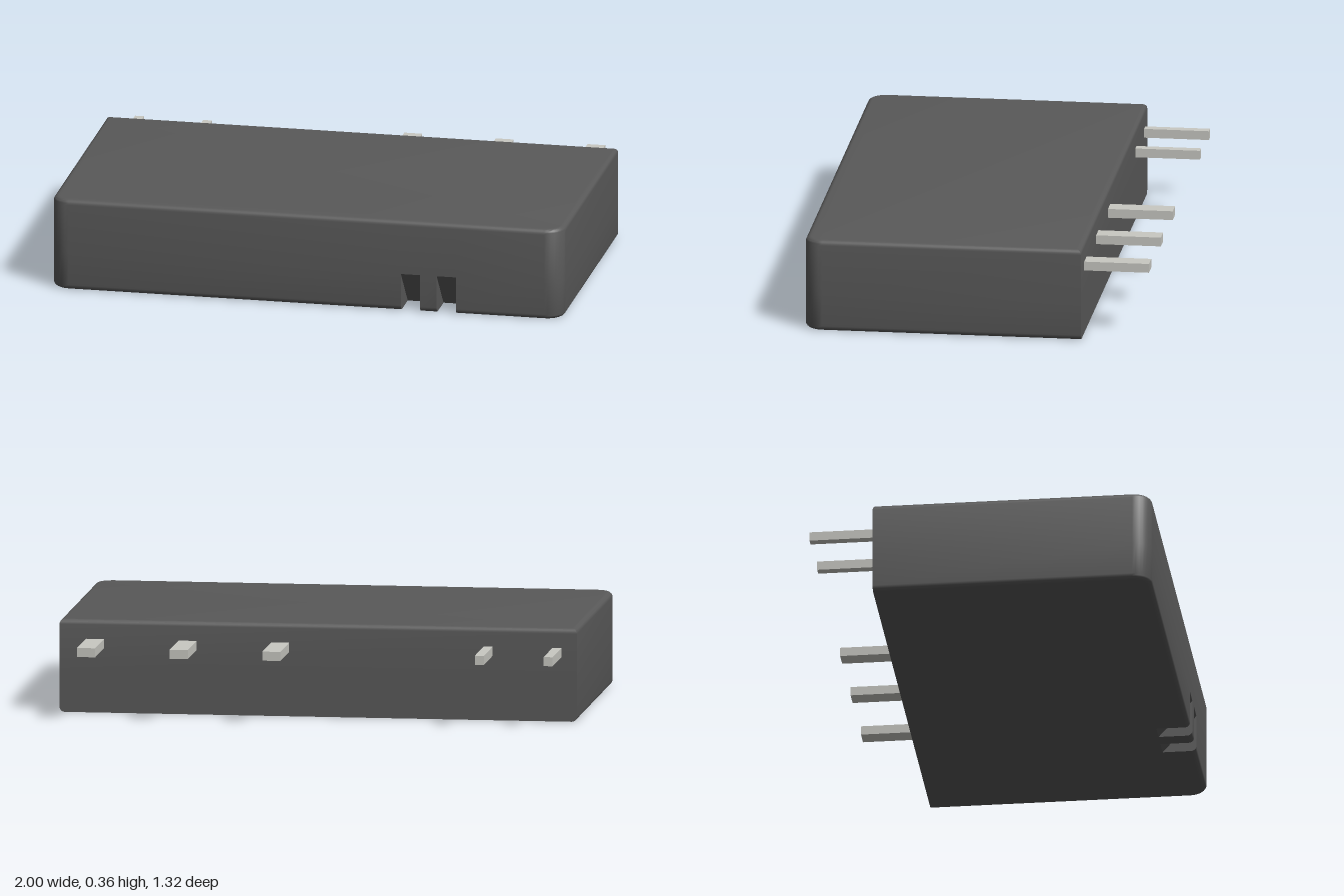
import * as THREE from 'three';
import { toCreasedNormals } from 'three/addons/utils/BufferGeometryUtils.js';

const HEIGHT = 0.36, FRONT = 0.66, BACK = -0.41;
const FILLET = 0.02, CORNER = 0.07;
const SLOTS = [[0.37, 0.445], [0.51, 0.585]];
const SLOT_HEIGHT = 0.147, SLOT_DEPTH = 0.13;

// Plan outline at height y: square back, rounded front corners, wedge slots that get shallower upwards
function outline(y, inset) {
  const side = 1 - inset, front = FRONT - inset;
  const back = BACK + (y > HEIGHT / 2 ? inset : 0);
  const points = [[-side, back]];
  const corner = (cx, from) => {
    for (let i = 0; i <= 8; i++) {
      const a = from + (i / 8) * Math.PI / 2, r = CORNER - inset;
      points.push([cx + r * Math.cos(a), FRONT - CORNER - r * Math.sin(a)]);
    }
  };
  corner(-1 + CORNER, Math.PI);
  const inner = Math.min(front, FRONT - SLOT_DEPTH * (1 - y / SLOT_HEIGHT));
  for (const [a, b] of SLOTS) points.push([a, front], [a, inner], [b, inner], [b, front]);
  corner(1 - CORNER, Math.PI * 1.5);
  points.push([side, back]);
  return points.map(([x, z]) => new THREE.Vector3(x, y, z));
}

// Housing: outlines stacked from the bottom fillet to the top fillet, then capped
function housingGeometry() {
  const lower = [], upper = [];
  for (let i = 0; i <= 5; i++) {
    const a = (i / 5) * Math.PI / 2;
    const rise = FILLET * (1 - Math.cos(a)), inset = FILLET * (1 - Math.sin(a));
    lower.push(outline(rise, inset));
    upper.unshift(outline(HEIGHT - rise, inset));
  }
  const rings = [...lower, outline(SLOT_HEIGHT, 0), ...upper];
  const positions = [];
  const triangle = (a, b, c) => {
    if (new THREE.Triangle(a, b, c).getArea() < 1e-9) return;
    for (const p of [a, b, c]) positions.push(p.x, p.y, p.z);
  };
  for (let k = 0; k + 1 < rings.length; k++) {
    const low = rings[k], high = rings[k + 1];
    low.forEach((p, j) => {
      const n = (j + 1) % low.length;
      triangle(p, low[n], high[n]);
      triangle(p, high[n], high[j]);
    });
  }
  const cap = (ring, up) => {
    const flat = ring.map(p => new THREE.Vector2(p.x, -p.z));
    for (const [a, b, c] of THREE.ShapeUtils.triangulateShape(flat, [])) {
      if (up) triangle(ring[a], ring[b], ring[c]);
      else triangle(ring[a], ring[c], ring[b]);
    }
  };
  cap(rings[0], false);
  cap(rings[rings.length - 1], true);
  const geometry = new THREE.BufferGeometry();
  geometry.setAttribute('position', new THREE.Float32BufferAttribute(positions, 3));
  return toCreasedNormals(geometry, Math.PI / 6);
}

export function createModel() {
  const model = new THREE.Group();
  model.name = 'relayModule';

  const housing = new THREE.Mesh(housingGeometry(), new THREE.MeshStandardMaterial({ color: 0x595959 }));
  housing.name = 'housing';
  model.add(housing);

  // Terminal pins: two narrow, three wide, rooted slightly inside the back face
  const metal = new THREE.MeshStandardMaterial({ color: 0xc8c8c2 });
  const pins = new THREE.Group();
  pins.name = 'terminalPins';
  const root = BACK + 0.01, tip = -0.66;
  for (const [x, width, name] of [
    [-0.923, 0.035, 'narrowPin'], [-0.657, 0.035, 'narrowPin'],
    [0.147, 0.07, 'widePin'], [0.505, 0.07, 'widePin'], [0.863, 0.07, 'widePin'],
  ]) {
    const pin = new THREE.Mesh(new THREE.BoxGeometry(width, 0.035, root - tip), metal);
    pin.position.set(x, 0.267, (root + tip) / 2);
    pin.name = name;
    pins.add(pin);
  }
  model.add(pins);
  return model;
}
